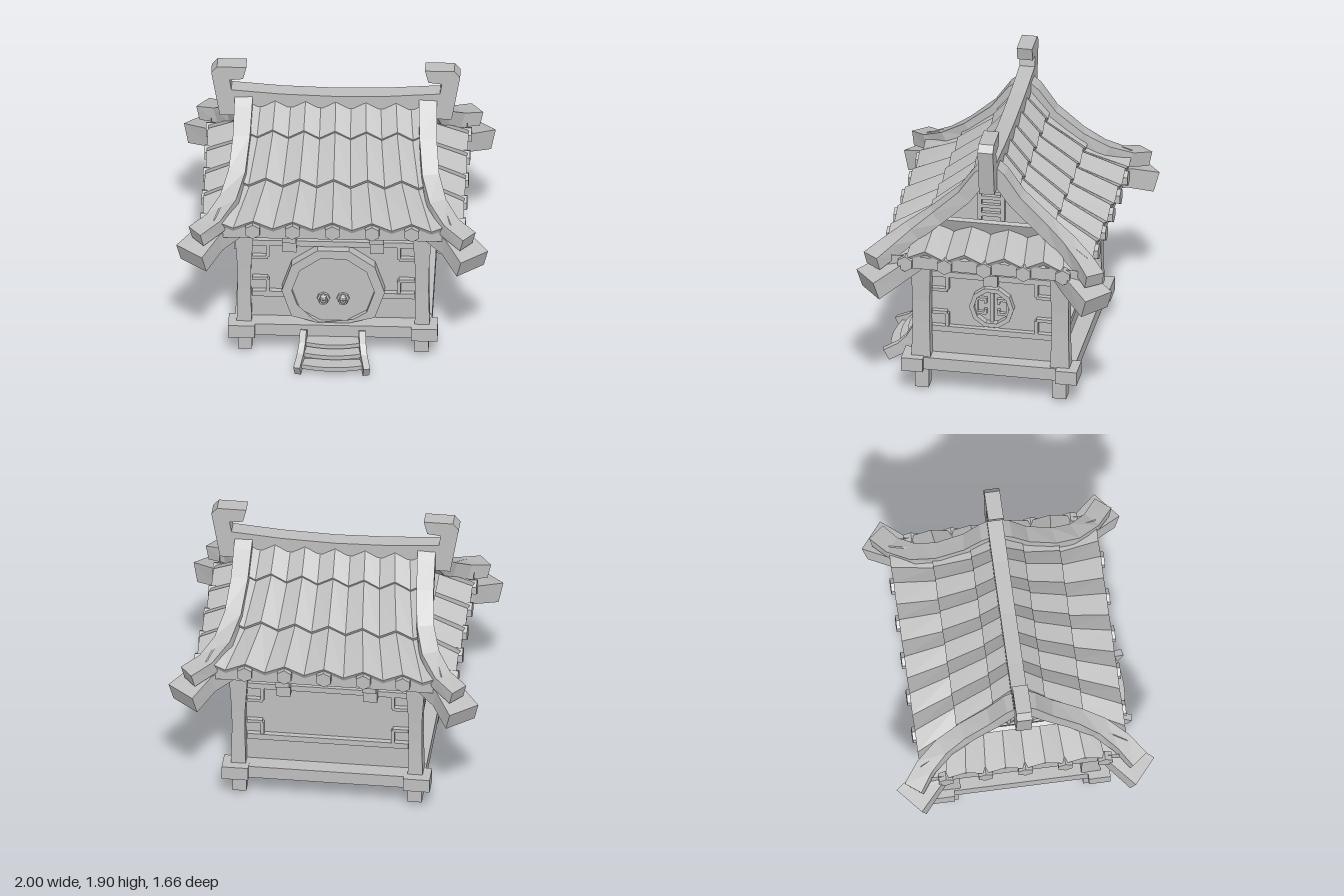
import * as THREE from 'three';

const grey = new THREE.MeshStandardMaterial({ color: 0xbfbfbf, side: THREE.DoubleSide, flatShading: true });
grey.name = 'plain grey';

function add(parent, name, geometry, x = 0, y = 0, z = 0) {
  const m = new THREE.Mesh(geometry, grey);
  m.name = name;
  m.position.set(x, y, z);
  parent.add(m);
  return m;
}
const box = (parent, name, w, h, d, x, y, z) => add(parent, name, new THREE.BoxGeometry(w, h, d), x, y, z);
const outline = pts => new THREE.Shape(pts.map(p => new THREE.Vector2(...p)));
const extrude = (shape, depth) => new THREE.ExtrudeGeometry(shape, { depth, bevelEnabled: false });

function meshFrom(points, index) {
  const g = new THREE.BufferGeometry();
  g.setAttribute('position', new THREE.Float32BufferAttribute(points, 3));
  g.setIndex(index);
  const flat = g.toNonIndexed();
  flat.computeVertexNormals();
  return flat;
}

// Rectangular beam along a path; sizes holds [width, height] at each point
function sweep(path, sizes) {
  const pts = path.map(p => new THREE.Vector3(...p)), out = [], idx = [];
  const up = new THREE.Vector3(0, 1, 0);
  pts.forEach((p, i) => {
    const t = pts[Math.min(i + 1, pts.length - 1)].clone().sub(pts[Math.max(i - 1, 0)]).normalize();
    const side = up.clone().cross(t).normalize();
    const n = t.clone().cross(side);
    const [w, h] = sizes[Math.min(i, sizes.length - 1)];
    for (const [a, b] of [[-1, -1], [1, -1], [1, 1], [-1, 1]])
      out.push(...p.clone().addScaledVector(side, a * w / 2).addScaledVector(n, b * h / 2).toArray());
    if (i) for (let k = 0; k < 4; k++) {
      const a = (i - 1) * 4 + k, b = (i - 1) * 4 + (k + 1) % 4;
      idx.push(a, b, b + 4, a, b + 4, a + 4);
    }
  });
  const e = (pts.length - 1) * 4;
  idx.push(0, 2, 1, 0, 3, 2, e, e + 1, e + 2, e, e + 2, e + 3);
  return meshFrom(out, idx);
}

// Zigzag row of tiles running down +z, with a lip on the lower edge
function tileRow(top, bottom, stepTop, stepBottom, half, phase, amp) {
  const out = [], idx = [];
  for (let j = -half; j <= half; j++) {
    const a = (Math.abs(j) + phase) % 2 ? -amp : amp, xt = j * stepTop, xb = j * stepBottom;
    out.push(xt, top[1] + a, top[0], xb, bottom[1] + a, bottom[0], xb, bottom[1] + a - 0.035, bottom[0] - 0.02);
    if (j > -half) {
      const c = (j + half) * 3, p = c - 3;
      for (const k of [0, 1]) idx.push(p + k, p + k + 1, c + k + 1, p + k, c + k + 1, c + k);
    }
  }
  return meshFrom(out, idx);
}

function polygon(r, n = 10) {
  const pts = [];
  for (let i = 0; i < n; i++) pts.push(new THREE.Vector2(r * Math.cos(i * 2 * Math.PI / n), r * Math.sin(i * 2 * Math.PI / n)));
  return pts;
}
function ring(outer, inner, depth) {
  const s = new THREE.Shape(polygon(outer));
  s.holes.push(new THREE.Path(polygon(inner)));
  return extrude(s, depth);
}

// Loop of quads between rectangles given as [halfX, y, halfZ]
function rectBand(loops) {
  const out = [], idx = [];
  loops.forEach(([x, y, z], i) => {
    out.push(-x, y, z, x, y, z, x, y, -z, -x, y, -z);
    if (i) for (let k = 0; k < 4; k++) {
      const a = i * 4 - 4 + k, b = i * 4 - 4 + (k + 1) % 4;
      idx.push(a, b, b + 4, a, b + 4, a + 4);
    }
  });
  return meshFrom(out, idx);
}

// One wall, built facing +z
function wall(name, half, dist, angle, brackets) {
  const g = new THREE.Group();
  g.name = name;
  g.rotation.y = angle;
  box(g, 'wallPanel', half * 2 + 0.06, 0.75, 0.03, 0, 0.6, dist - 0.03);
  box(g, 'lowerRail', half * 2, 0.04, 0.04, 0, 0.437, dist);
  box(g, 'upperRail', half * 2, 0.04, 0.04, 0, 0.83, dist);
  box(g, 'topBeam', half * 2 + 0.1, 0.06, 0.08, 0, 0.92, dist);
  for (const s of [-1, 1]) {
    for (const [y, d] of [[0.81, -1], [0.457, 1]]) {
      box(g, 'cornerFret', 0.022, 0.09, 0.035, s * (half - 0.1), y + d * 0.045, dist);
      box(g, 'cornerFret', 0.1, 0.022, 0.035, s * (half - 0.05), y + d * 0.095, dist);
    }
  }
  const profile = outline([[0, 0.79], [0.06, 0.79], [0.06, 0.87], [0.12, 0.9], [0.12, 1], [0, 1]]);
  for (const x of brackets)
    add(g, 'bracket', extrude(profile, 0.09).rotateY(-Math.PI / 2), x + 0.045, 0, dist);
  return g;
}

export function createModel() {
  const house = new THREE.Group();
  house.name = 'gableHouse';

  // Base
  box(house, 'baseFloor', 1.2, 0.06, 0.98, 0, 0.218, 0);
  for (const s of [-1, 1]) {
    box(house, 'baseBeam', 1.26, 0.085, 0.1, 0, 0.207, s * 0.49);
    box(house, 'baseBeam', 0.1, 0.085, 1.06, s * 0.58, 0.207, 0);
  }

  // Walls
  const front = wall('frontWall', 0.52, 0.45, 0, [-0.28, 0.28]);
  house.add(front, wall('backWall', 0.52, 0.45, Math.PI, [-0.28, 0.28]));
  for (const s of [-1, 1]) {
    const side = wall('sideWall', 0.39, 0.55, s * Math.PI / 2, [0]);
    add(side, 'windowFrame', ring(0.145, 0.115, 0.05), 0, 0.62, 0.53);
    box(side, 'windowBar', 0.025, 0.23, 0.03, 0, 0.62, 0.545);
    for (const t of [-1, 1]) {
      box(side, 'windowFret', 0.018, 0.11, 0.03, t * 0.1, 0.62, 0.545);
      for (const u of [-1, 1]) {
        box(side, 'windowFret', 0.07, 0.018, 0.03, t * 0.07, 0.62 + u * 0.05, 0.545);
        box(side, 'windowFret', 0.018, 0.035, 0.03, t * 0.042, 0.62 + u * 0.038, 0.545);
      }
    }
    house.add(side);
  }

  // Round door, flat where it meets the base
  const clip = g => {
    const p = g.attributes.position;
    for (let i = 0; i < p.count; i++) p.setY(i, Math.max(p.getY(i), -0.24));
    g.computeVertexNormals();
    return g;
  };
  add(front, 'doorFrame', clip(ring(0.33, 0.265, 0.07)), 0, 0.49, 0.44);
  add(front, 'doorLeaf', clip(extrude(new THREE.Shape(polygon(0.27)), 0.04)), 0, 0.49, 0.44);
  box(front, 'doorSeam', 0.008, 0.48, 0.006, 0, 0.495, 0.482);
  for (const s of [-1, 1]) {
    add(front, 'doorPlate', new THREE.CylinderGeometry(0.04, 0.042, 0.015, 8).rotateX(Math.PI / 2), s * 0.063, 0.425, 0.487);
    add(front, 'doorKnob', new THREE.SphereGeometry(0.022, 8, 6), s * 0.063, 0.44, 0.505);
    add(front, 'doorRing', new THREE.TorusGeometry(0.024, 0.007, 5, 10), s * 0.063, 0.418, 0.51);
  }

  // Corners: leg, joint block, waisted post, eave beam and curved hip
  for (const sx of [-1, 1]) for (const sz of [-1, 1]) {
    box(house, 'leg', 0.09, 0.17, 0.09, sx * 0.565, 0.11, sz * 0.447);
    for (const [w, d] of [[0.17, 0.09], [0.09, 0.14]])
      box(house, 'jointBlock', w, 0.092, d, sx * (0.67 - w / 2), 0.208, sz * (0.572 - d / 2));
    const post = rectBand([[0.048, 0.25, 0.062], [0.042, 0.5, 0.055], [0.043, 0.65, 0.056], [0.06, 0.92, 0.064], [0.06, 0.96, 0.064]]);
    add(house, 'post', post, sx * 0.57, 0, sz * 0.452);
    const at = p => [sx * p[0], p[1], sz * p[2]];
    add(house, 'cornerBeam', sweep([[0.56, 1.01, 0.42], [0.775, 0.955, 0.595], [0.9, 0.888, 0.745]].map(at), [[0.15, 0.12], [0.18, 0.13], [0.22, 0.135]]));
    const hip = [[0.588, 1.65, 0], [0.59, 1.6, 0.06], [0.595, 1.445, 0.17], [0.615, 1.285, 0.35], [0.66, 1.175, 0.5], [0.75, 1.09, 0.63], [0.87, 1.045, 0.725]];
    add(house, 'hipRidge', sweep(hip.map(at), [[0.115, 0.1], [0.115, 0.1], [0.11, 0.1], [0.11, 0.1], [0.115, 0.1], [0.12, 0.1], [0.125, 0.095]]));
  }

  // Eave layers, soffit and fascia
  box(house, 'eaveLayer', 1.26, 0.04, 1.06, 0, 0.945, 0);
  add(house, 'soffit', rectBand([[0.62, 0.955, 0.52], [0.82, 0.99, 0.65], [0.82, 1.075, 0.65]]));

  // Long roof slopes, three tile rows each
  for (const turn of [0, Math.PI]) {
    const slope = new THREE.Group();
    slope.name = 'roofSlope';
    slope.rotation.y = turn;
    add(slope, 'topTiles', tileRow([0.04, 1.63], [0.17, 1.475], 0.0965, 0.1, 6, 0, 0.028));
    add(slope, 'middleTiles', tileRow([0.15, 1.465], [0.41, 1.265], 0.099, 0.109, 6, 0, 0.028));
    add(slope, 'lowerTiles', tileRow([0.39, 1.245], [0.67, 1.105], 0.108, 0.127, 6, 0, 0.028));
    for (let i = -2; i <= 2; i++)
      add(slope, 'tileEnd', new THREE.CylinderGeometry(0.053, 0.053, 0.06, 6).rotateX(Math.PI / 2), i * 0.255, 1.062, 0.66);
    house.add(slope);
  }

  // Side skirts and gables
  for (const s of [-1, 1]) {
    const end = new THREE.Group();
    end.name = 'gableEnd';
    end.rotation.y = s * Math.PI / 2;
    add(end, 'skirtTiles', tileRow([0.6, 1.195], [0.835, 1.095], 0.12, 0.1285, 4, 1, 0.03));
    box(end, 'gableSill', 0.76, 0.12, 0.03, 0, 1.21, 0.595).rotation.x = 0.4;
    const tri = outline([[-0.38, 1.2], [0.38, 1.2], [0.17, 1.42], [0.05, 1.6], [-0.05, 1.6], [-0.17, 1.42]]);
    add(end, 'gableWall', extrude(tri, 0.02), 0, 0, 0.54);
    for (const t of [-1, 1]) box(end, 'ventFrame', 0.025, 0.28, 0.03, t * 0.075, 1.4, 0.575);
    for (let i = 0; i < 4; i++) box(end, 'ventSlat', 0.13, 0.025, 0.025, 0, 1.3 + i * 0.06, 0.573);
    for (let i = -2; i <= 2; i++)
      add(end, 'tileEnd', new THREE.CylinderGeometry(0.053, 0.053, 0.06, 6).rotateX(Math.PI / 2), i * 0.257, 1.03, 0.82);
    house.add(end);
  }

  // Ridge with hooked ends
  const half = [[0.35, 1.7], [0.668, 1.725], [0.68, 1.8], [0.594, 1.81], [0.572, 1.9], [0.76, 1.9], [0.797, 1.855], [0.743, 1.53], [0.63, 1.53], [0.6, 1.6]];
  const ridge = outline([...half, ...half.map(([x, y]) => [-x, y]).reverse(), [0, 1.69]]);
  add(house, 'ridge', extrude(ridge, 0.1), 0, 0, -0.05);

  // Front steps with bowed treads
  const steps = new THREE.Group();
  steps.name = 'steps';
  for (const s of [-1, 1])
    add(steps, 'stepRail', sweep([[s * 0.185, 0.22, 0.55], [s * 0.19, 0.145, 0.595], [s * 0.2, 0.085, 0.655], [s * 0.222, 0.035, 0.752]], [[0.042, 0.08]]));
  for (const [w, y, z] of [[0.18, 0.15, 0.59], [0.185, 0.1, 0.64], [0.2, 0.05, 0.7]]) {
    const tread = new THREE.Shape();
    tread.moveTo(-w, 0.05).lineTo(-w, -0.02).quadraticCurveTo(0, -0.08, w, -0.02).lineTo(w, 0.05);
    add(steps, 'tread', extrude(tread, 0.03).rotateX(-Math.PI / 2), 0, y - 0.015, z);
  }
  house.add(steps);
  return house;
}
